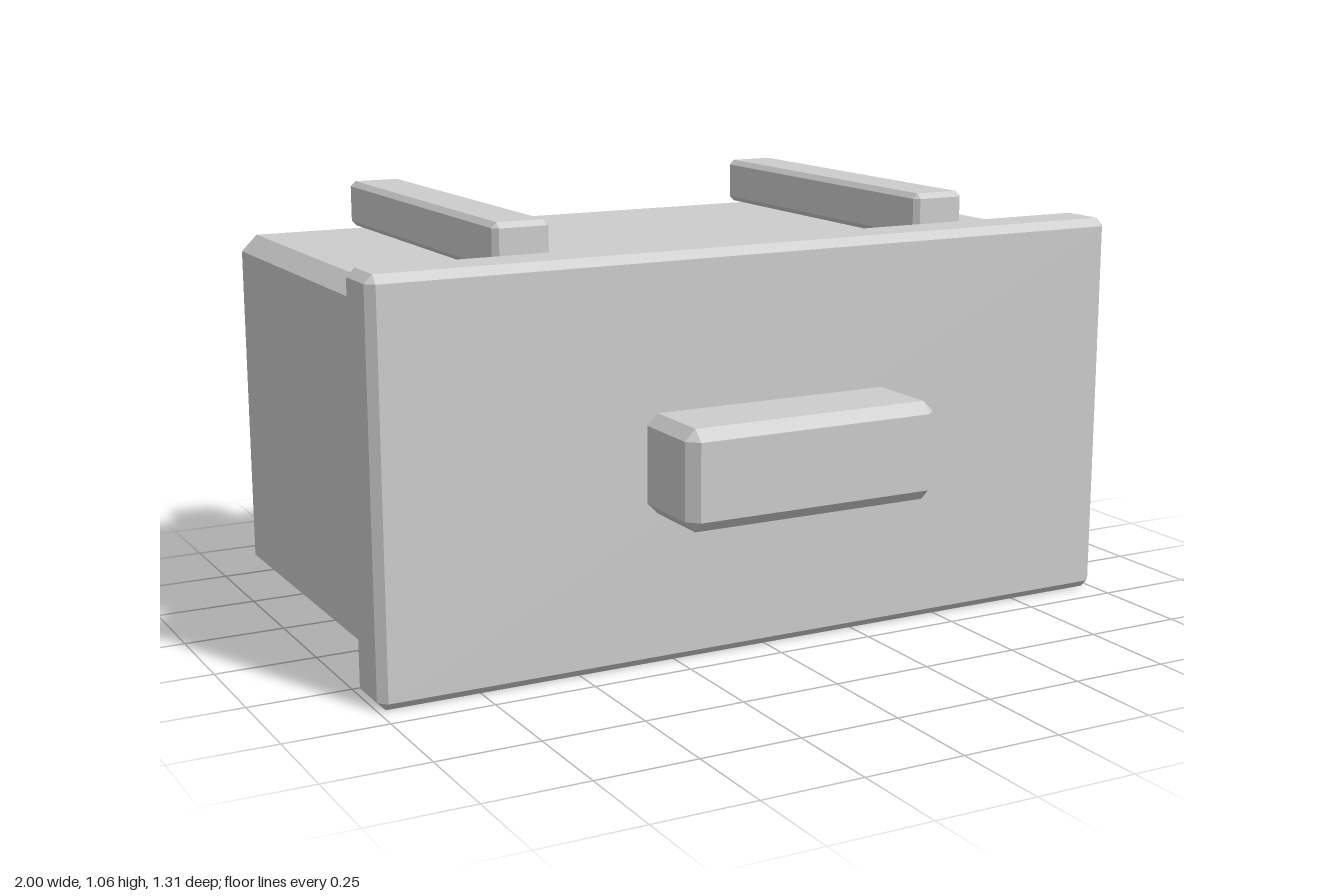
import * as THREE from 'three';
import { ConvexGeometry } from 'three/addons/geometries/ConvexGeometry.js';

// Box between two corners with every edge cut flat by c
function chamferBox([x0, y0, z0], [x1, y1, z1], c) {
  const half = [(x1 - x0) / 2, (y1 - y0) / 2, (z1 - z0) / 2];
  const points = [];
  for (const sx of [-1, 1]) for (const sy of [-1, 1]) for (const sz of [-1, 1]) {
    // each corner becomes three points, one on each adjoining face
    for (let face = 0; face < 3; face++) {
      const p = [sx, sy, sz].map((s, i) => s * (half[i] - (i === face ? 0 : c)));
      points.push(new THREE.Vector3(...p));
    }
  }
  return new ConvexGeometry(points);
}

export function createModel() {
  const group = new THREE.Group();
  group.name = 'drawer';
  const grey = new THREE.MeshStandardMaterial({ color: 0xcccccc });
  grey.name = 'light grey';

  function add(name, min, max, chamfer) {
    const mesh = new THREE.Mesh(chamferBox(min, max, chamfer), grey);
    mesh.name = name;
    mesh.position.set(...min.map((v, i) => (v + max[i]) / 2));
    group.add(mesh);
  }

  // Drawer box, front panel and handle
  add('body', [-0.955, 0.05, -0.655], [0.955, 0.94, 0.293], 0.04);
  add('frontPanel', [-1, 0, 0.285], [1, 0.985, 0.435], 0.02);
  add('handle', [-0.335, 0.375, 0.42], [0.335, 0.615, 0.655], 0.027);

  // Runners along the top
  add('leftRail', [0.5, 0.943, -0.655], [0.642, 1.06, 0.3], 0.013);
  add('rightRail', [-0.647, 0.943, -0.655], [-0.505, 1.06, 0.3], 0.013);

  return group;
}
